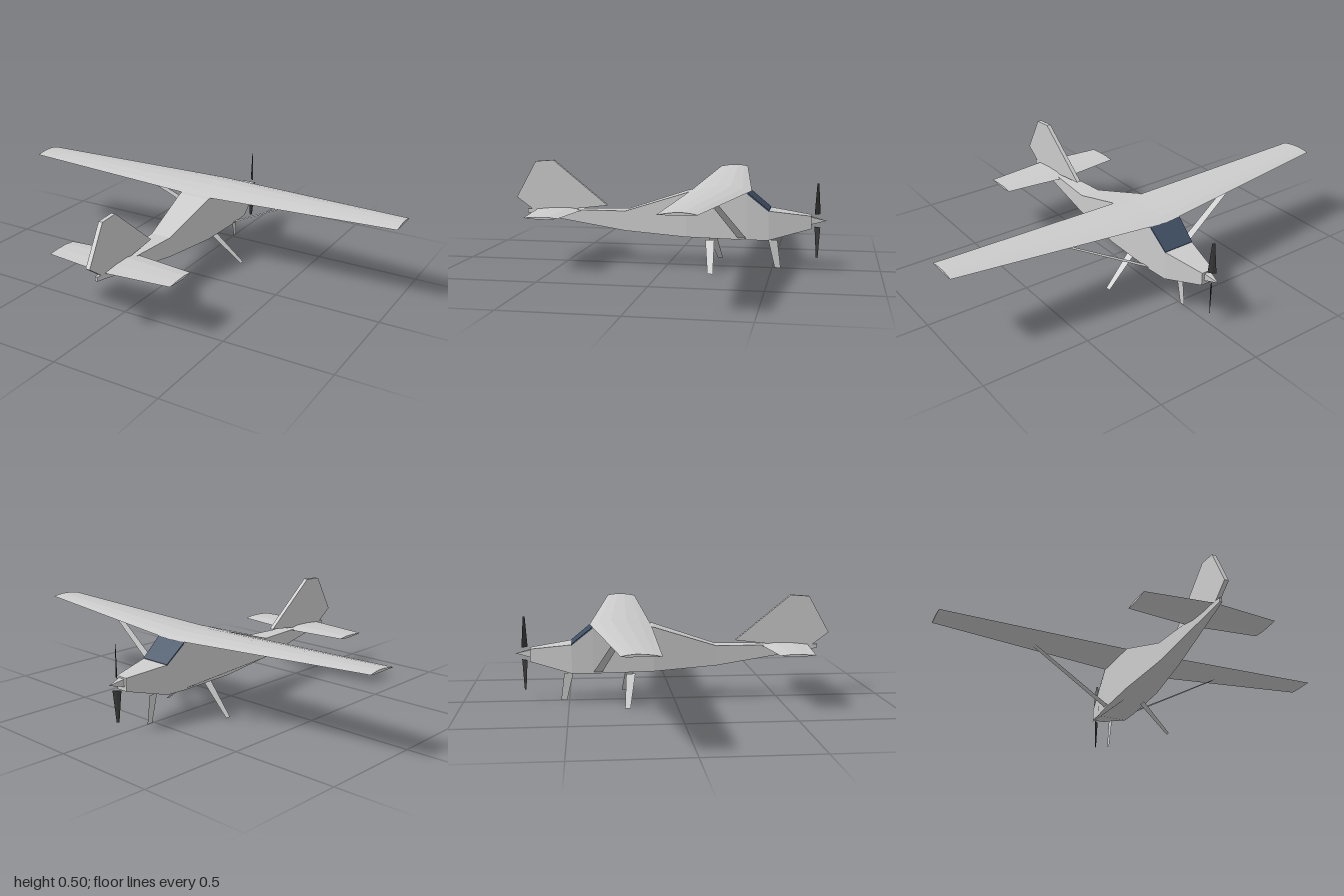
import * as THREE from 'three';

const grey = new THREE.MeshStandardMaterial({ color: 0xcccccc, flatShading: true });
const thin = new THREE.MeshStandardMaterial({ color: 0xcccccc, flatShading: true, side: THREE.DoubleSide });
const glass = new THREE.MeshStandardMaterial({ color: 0x3f4f63, flatShading: true });
const dark = new THREE.MeshStandardMaterial({ color: 0x383838, flatShading: true });

// Skins a list of equal-sized rings (counter-clockwise seen from the end) and caps both ends.
function loft(rings) {
  const n = rings[0].length, last = (rings.length - 1) * n, index = [];
  for (let r = 0; r < last; r += n) {
    for (let i = 0; i < n; i++) {
      const a = r + i, b = r + (i + 1) % n;
      index.push(a, b, b + n, a, b + n, a + n);
    }
  }
  for (let i = 1; i < n - 1; i++) index.push(0, i + 1, i, last, last + i, last + i + 1);
  const g = new THREE.BufferGeometry();
  g.setAttribute('position', new THREE.Float32BufferAttribute(rings.flat(2), 3));
  g.setIndex(index);
  const flat = g.toNonIndexed();
  flat.computeVertexNormals();
  return flat;
}

// Rectangular ring at z: half width, bottom and top
const boxRing = (z, w, lo, hi) => [[w, lo, z], [w, hi, z], [-w, hi, z], [-w, lo, z]];

// Lifting surface through x stations; outline is [chord fraction, height fraction]
const surface = (stations, outline) => loft(stations.map(([x, lead, trail, y, h]) =>
  outline.map(([c, t]) => [x, y + t * h, lead + (trail - lead) * c])));

// Flat strip between two [x, y, zFront, zBack] ends
function strip([ax, ay, a0, a1], [bx, by, b0, b1]) {
  const g = new THREE.BufferGeometry();
  g.setAttribute('position', new THREE.Float32BufferAttribute(
    [ax, ay, a0, bx, by, b0, bx, by, b1, ax, ay, a1], 3));
  g.setIndex([0, 1, 2, 0, 2, 3]);
  g.computeVertexNormals();
  return g;
}

export function createModel() {
  const model = new THREE.Group();
  model.name = 'lightAircraft';
  const add = (name, geometry, material = grey) => {
    const mesh = new THREE.Mesh(geometry, material);
    mesh.name = name;
    model.add(mesh);
    return mesh;
  };

  // Body, nose at -z
  add('fuselage', loft([
    boxRing(-0.68, 0.03, 0.195, 0.255),
    boxRing(-0.485, 0.076, 0.143, 0.28),
    boxRing(-0.385, 0.082, 0.143, 0.362),
    boxRing(-0.1, 0.08, 0.148, 0.358),
    boxRing(0.2, 0.05, 0.165, 0.26),
    boxRing(0.7, 0.006, 0.235, 0.254),
  ]));
  add('windshield', loft([
    boxRing(-0.487, 0.076, 0.275, 0.282),
    boxRing(-0.387, 0.082, 0.355, 0.364),
  ]), glass);

  // Wing with a cambered section and slight dihedral
  add('wing', surface([
    [-1, -0.29, -0.135, 0.387, 0.011],
    [0, -0.4, -0.108, 0.358, 0.024],
    [1, -0.29, -0.135, 0.387, 0.011],
  ], [[0, 0.25], [0.15, 0.7], [0.35, 1], [0.6, 0.9], [0.82, 0.5], [1, 0], [0.5, -0.04], [0.12, 0]]));

  // Tail surfaces
  add('tailplane', surface([
    [-0.313, 0.455, 0.618, 0.254, 0.006],
    [0, 0.42, 0.652, 0.254, 0.011],
    [0.313, 0.455, 0.618, 0.254, 0.006],
  ], [[0, 0], [0.3, 1], [0.65, 0.8], [1, 0], [0.65, -0.8], [0.3, -1]]));

  const finShape = new THREE.Shape([[0.297, 0.279], [0.565, 0.495], [0.655, 0.488],
    [0.754, 0.311], [0.67, 0.25], [0.48, 0.257]].map(([z, y]) => new THREE.Vector2(-z, y)));
  const fin = new THREE.ExtrudeGeometry(finShape, { depth: 0.02, bevelEnabled: false });
  add('fin', fin.translate(0, 0, -0.01).rotateY(Math.PI / 2));

  // Spinner and two pitched, tapering propeller blades
  add('spinner', new THREE.ConeGeometry(0.024, 0.07, 4).rotateY(Math.PI / 4)
    .rotateX(-Math.PI / 2).translate(0, 0.231, -0.715));
  for (const s of [1, -1]) {
    const blade = new THREE.CylinderGeometry(0.006, 0.019, 0.145, 4);
    blade.scale(1, 1, 0.18).rotateY(-Math.PI / 4);
    if (s < 0) blade.rotateX(Math.PI);
    add(s > 0 ? 'upperBlade' : 'lowerBlade', blade.translate(0, 0.23 + s * 0.1025, -0.707), dark);
  }

  // Flat struts and landing legs
  for (const s of [1, -1]) {
    const side = s > 0 ? 'left' : 'right';
    add(side + 'Strut', strip([s * 0.08, 0.15, -0.383, -0.343], [s * 0.5, 0.37, -0.295, -0.264]), thin);
    add(side + 'MainLeg', strip([s * 0.05, 0.132, -0.23, -0.187], [s * 0.2, 0, -0.243, -0.218]), thin);
  }
  add('noseLeg', strip([0, 0.132, -0.523, -0.48], [0, 0, -0.54, -0.512]), thin);
  return model;
}
